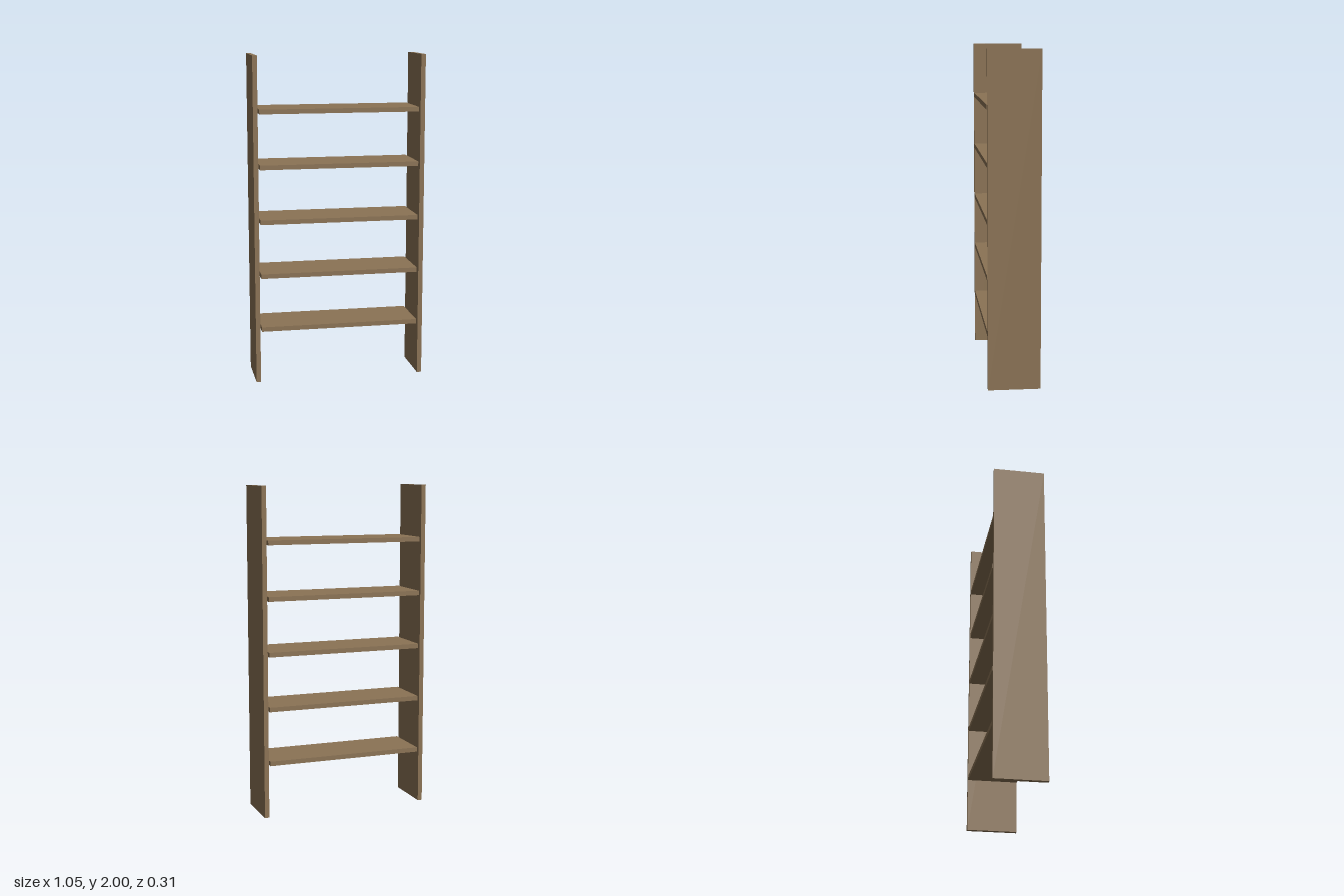
import * as THREE from 'three';

export function createModel() {
  const group = new THREE.Group();
  const wood = new THREE.MeshStandardMaterial({ color: 0x8b7355 });
  const depth = 0.3125, thickness = 0.028, height = 2;

  const addBoard = (name, width, tall, x, y) => {
    const board = new THREE.Mesh(new THREE.BoxGeometry(width, tall, depth), wood);
    board.name = name;
    board.position.set(x, y, 0);
    group.add(board);
  };

  // Upright side panels
  addBoard('leftPanel', thickness, height, 0.511, height / 2);
  addBoard('rightPanel', thickness, height, -0.511, height / 2);

  // Evenly spaced shelves, with a narrow gap at each panel
  const shelfCount = 5;
  for (let i = 1; i <= shelfCount; i++) {
    addBoard(`shelf${i}`, 0.974, thickness, 0, (i * height) / (shelfCount + 1) + 0.002);
  }
  return group;
}
